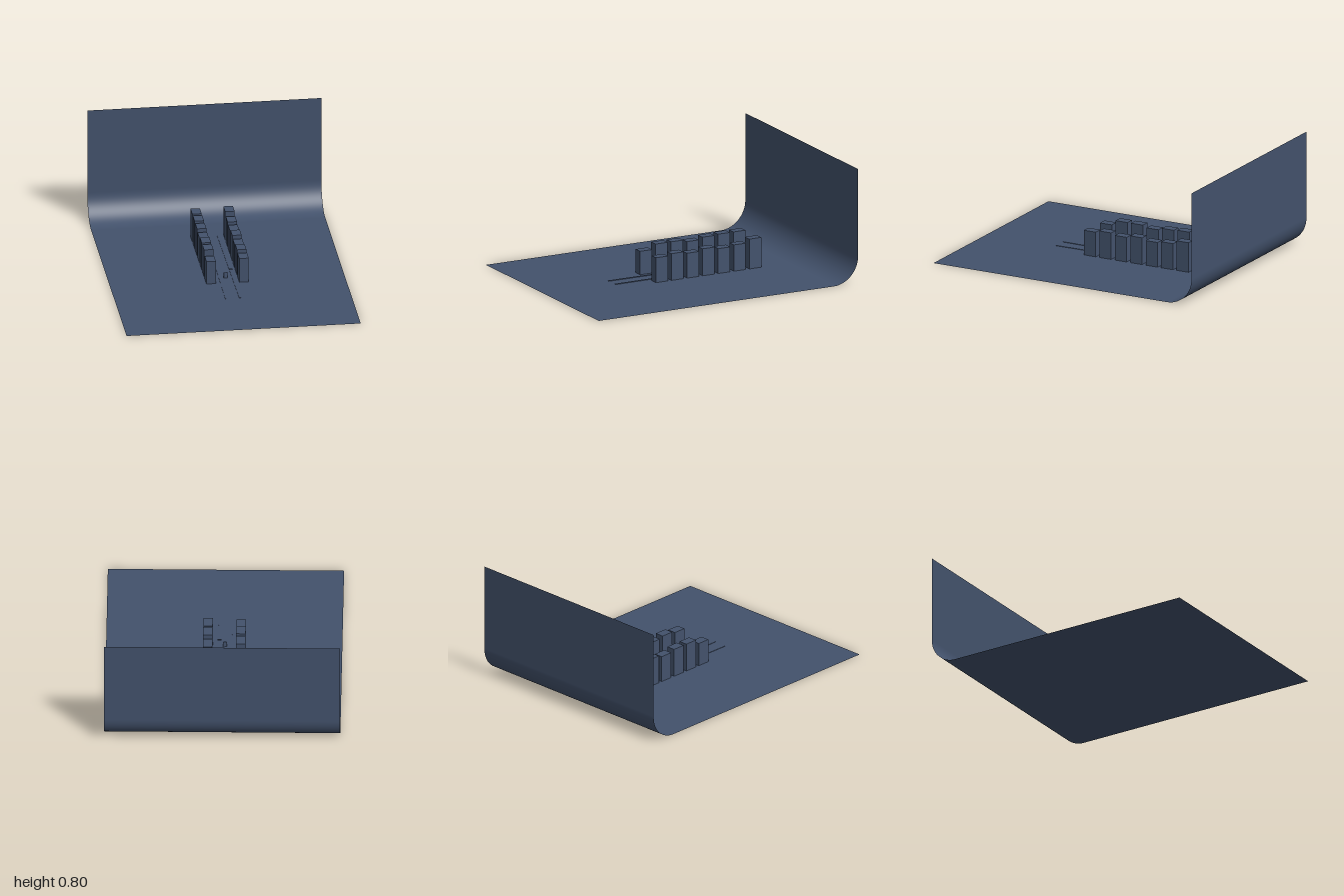
import * as THREE from 'three';

export function createModel() {
  const model = new THREE.Group();
  const slate = new THREE.MeshStandardMaterial({ color: 0x43526c, side: THREE.DoubleSide });
  slate.name = 'slate blue';

  const add = (name, geometry, parent = model) => {
    const mesh = new THREE.Mesh(geometry, slate);
    mesh.name = name;
    parent.add(mesh);
    return mesh;
  };
  const box = (name, w, h, d, x, y, z, parent) => {
    const mesh = add(name, new THREE.BoxGeometry(w, h, d), parent);
    mesh.position.set(x, y, z);
    return mesh;
  };

  // Backdrop sheet: flat floor, rounded sweep, upright wall
  const radius = 0.19;
  const profile = [{ z: 1, y: 0, a: 0 }];
  const steps = 24;
  for (let i = 0; i <= steps; i++) {
    const a = (i / steps) * Math.PI / 2;
    profile.push({ z: -1 + radius - radius * Math.sin(a), y: radius - radius * Math.cos(a), a });
  }
  profile.push({ z: -1, y: 0.8, a: Math.PI / 2 });
  const sheet = new THREE.PlaneGeometry(1.6, 1, 1, profile.length - 1);
  const pos = sheet.attributes.position, nor = sheet.attributes.normal;
  for (let i = 0; i < pos.count; i++) {
    // Rows run from the wall's top edge down to the floor's front edge
    const p = profile[profile.length - 1 - Math.floor(i / 2)];
    pos.setXYZ(i, pos.getX(i), p.y, p.z);
    nor.setXYZ(i, 0, Math.cos(p.a), Math.sin(p.a));
  }
  add('backdropSheet', sheet);

  // Two rows of blocks, listed from back to front
  const rows = [
    { name: 'leftBlock', x: 0.11, heights: [0.21, 0.185, 0.175, 0.19, 0.175, 0.188, 0.175] },
    { name: 'rightBlock', x: -0.115, heights: [0.205, 0.205, 0.2, 0.185, 0.2, 0.2, 0.165] },
  ];
  for (const { name, x, heights } of rows) {
    const row = new THREE.Group();
    row.name = name + 'Row';
    model.add(row);
    heights.forEach((h, i) => box(name, 0.064, h, 0.092, x, h / 2, -0.565 + i * 0.12, row));
  }

  // Narrow ground strips that draw together towards the back
  for (const side of [-1, 1]) {
    const strip = new THREE.BoxGeometry(0.013, 0.003, 1.07);
    const v = strip.attributes.position;
    for (let i = 0; i < v.count; i++) {
      const z = v.getZ(i) - 0.07;
      v.setXYZ(i, v.getX(i) + side * (0.044 + 0.008 * z), v.getY(i) + 0.0015, z);
    }
    add(side > 0 ? 'leftGroundStrip' : 'rightGroundStrip', strip);
  }

  // Small upright plate and floating tag between the rows
  box('uprightPlate', 0.026, 0.04, 0.004, -0.004, 0.02, 0.115).rotation.y = 0.15;
  box('floatingTag', 0.026, 0.01, 0.004, 0.031, 0.06, 0.11);

  return model;
}
